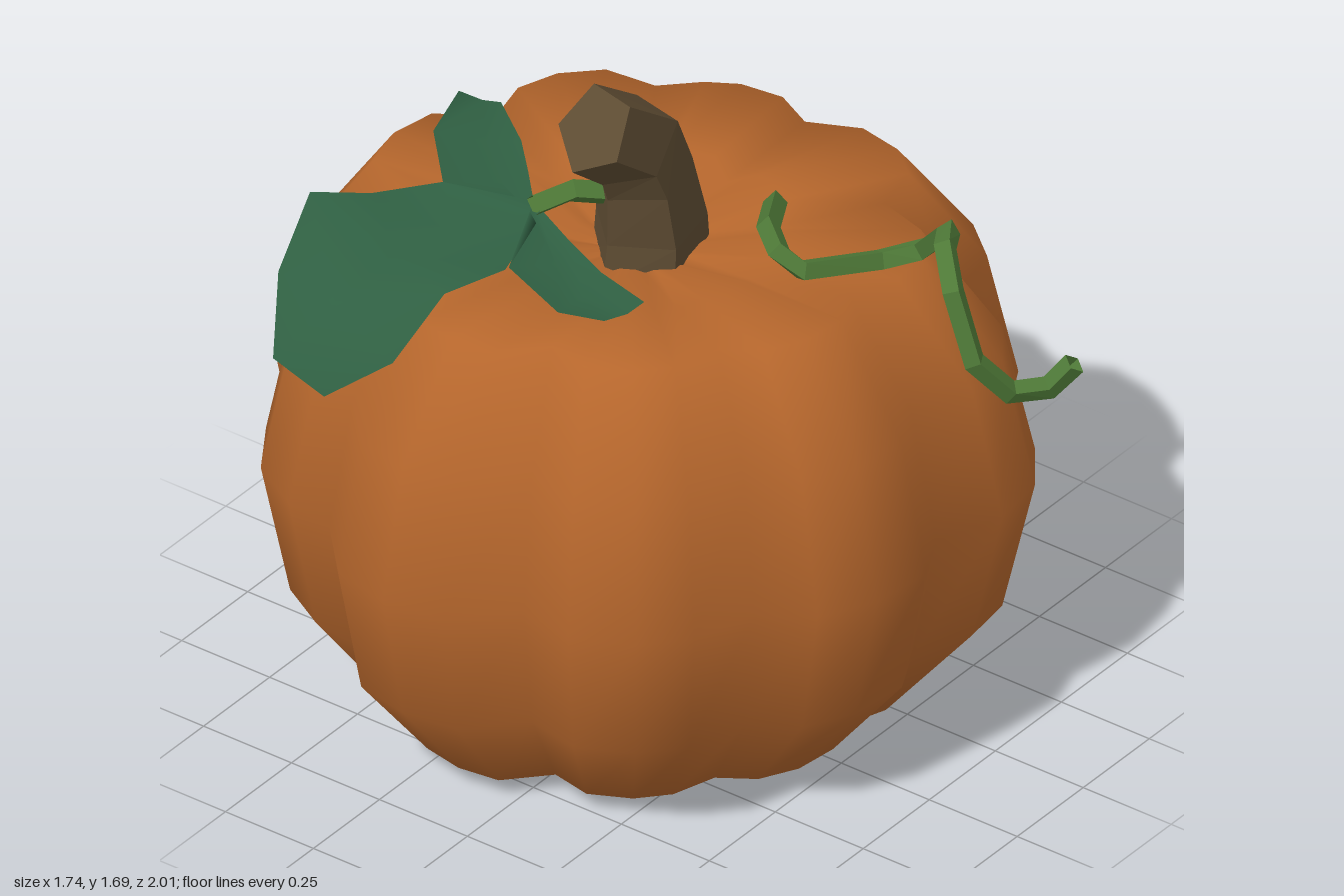
import * as THREE from 'three';

const V = (x, y, z) => new THREE.Vector3(x, y, z);

// Skin a list of rings (or open rows) of points, bottom to top
function loft(rings, closed = true) {
  const n = rings[0].length, index = [];
  for (let i = 0; i < rings.length - 1; i++) {
    for (let j = 0; j < (closed ? n : n - 1); j++) {
      const k = (j + 1) % n;
      const a = i * n + j, b = i * n + k, c = a + n, d = b + n;
      index.push(a, b, d, a, d, c);
    }
  }
  const g = new THREE.BufferGeometry().setFromPoints(rings.flat());
  g.setIndex(index);
  g.computeVertexNormals();
  return g;
}

// Straight-sided path whose tube rings sit exactly on its corner points
class CornerPath extends THREE.Curve {
  constructor(points) { super(); this.points = points; }
  getPointAt(u) {
    return this.points[Math.round(u * (this.points.length - 1))].clone();
  }
  getTangentAt(u) {
    const p = this.points, i = Math.round(u * (p.length - 1));
    return p[Math.min(i + 1, p.length - 1)].clone().sub(p[Math.max(i - 1, 0)]).normalize();
  }
}

export function createModel() {
  const group = new THREE.Group();
  const add = (name, geometry, color, options = {}, parent = group) => {
    const mesh = new THREE.Mesh(geometry, new THREE.MeshStandardMaterial({ color, ...options }));
    mesh.name = name;
    parent.add(mesh);
  };

  // Pumpkin body: nine-lobed plan outline (x, z), four points per lobe
  const outline = [
    [-.04, -1], [-.20, -.96], [-.29, -.77], [-.46, -.79], [-.60, -.70], [-.68, -.56],
    [-.70, -.43], [-.84, -.30], [-.87, -.15], [-.85, 0], [-.71, .13], [-.74, .28],
    [-.67, .42], [-.57, .51], [-.41, .56], [-.33, .68], [-.20, .75], [-.04, .77],
    [.08, .71], [.25, .77], [.40, .75], [.52, .66], [.57, .48], [.75, .44],
    [.84, .33], [.87, .17], [.79, 0], [.86, -.14], [.84, -.29], [.78, -.39],
    [.67, -.50], [.65, -.68], [.54, -.79], [.40, -.84], [.23, -.80], [.12, -.97],
  ];
  const cz = -.11;
  // Profile: outline scale, height, extra depth of the grooves
  const profile = [
    [0, .015, 0], [.32, .003, 0], [.69, .055, 0], [.92, .31, 0], [1, .65, 0],
    [.92, .98, 0], [.72, 1.24, 0], [.4, 1.225, .03], [.15, 1.18, .01], [0, 1.16, 0],
  ];
  add('pumpkinBody', loft(profile.map(([s, y, dip]) => outline.map(([x, z], j) =>
    V(x * s, y - (j % 4 === 2 ? dip : 0), cz + (z - cz) * s)))), 0xb5662c);

  // Stem: five-sided rings that lean over to the right; x, y, tilt, in-plane and z radius
  const stemRings = [
    [.04, 1.12, 0, .15, .14], [.035, 1.24, .05, .135, .135], [0, 1.4, .3, .115, .12],
    [-.045, 1.5, .65, .12, .11], [-.2, 1.62, .93, .11, .095], [-.2, 1.62, .93, 0, 0],
  ];
  add('stem', loft(stemRings.map(([x, y, tilt, r, rz], i) =>
    Array.from({ length: 5 }, (_, k) => {
      const t = (100 + k * 72) * Math.PI / 180, u = r * Math.cos(t);
      return V(x + u * Math.cos(tilt), y + u * Math.sin(tilt), -.08 + i * .007 - rz * Math.sin(t));
    }))), 0x5e4c33, { flatShading: true });

  // Leaf: three lobes, each a strip of edge, midrib, edge rows
  const leaf = new THREE.Group();
  leaf.name = 'leaf';
  group.add(leaf);
  const root = [[-.25, 1.34, -.18], [-.22, 1.34, -.22], [-.18, 1.34, -.24]];
  const lobes = {
    largeLeafLobe: [
      [[-.42, 1.32, -.14], [-.35, 1.30, -.32], [-.23, 1.33, -.46]],
      [[-.57, 1.31, -.20], [-.48, 1.29, -.41], [-.34, 1.31, -.58]],
      [[-.70, 1.17, -.25], [-.63, 1.21, -.47], [-.48, 1.36, -.65]],
      [[-.76, 1.05, -.40], [-.74, 1.08, -.56], [-.64, 1.24, -.62]],
    ],
    frontLeafLobe: [
      [[-.26, 1.34, -.08], [-.32, 1.31, -.07], [-.42, 1.33, -.13]],
      [[-.31, 1.33, .05], [-.39, 1.31, .06], [-.50, 1.33, .07]],
      [[-.36, 1.34, .21], [-.41, 1.33, .20], [-.465, 1.33, .175]],
    ],
    backLeafLobe: [
      [[-.23, 1.33, -.46], [-.13, 1.31, -.37], [-.08, 1.33, -.33]],
      [[-.10, 1.35, -.585], [-.04, 1.33, -.48], [0, 1.34, -.41]],
      [[.03, 1.38, -.61], [.08, 1.34, -.58], [.11, 1.33, -.55]],
    ],
  };
  for (const [name, rows] of Object.entries(lobes)) {
    // Start each strip at the shared root, narrowed to the midrib for the side lobes
    const start = name === 'largeLeafLobe' ? root
      : name === 'frontLeafLobe' ? [root[2], root[1], root[0]] : [root[1], root[1], root[2]];
    const points = [start, ...rows].map(row => row.map(p => V(...p)));
    // Keep every strip facing upwards
    if (name === 'frontLeafLobe') points.forEach(row => row.reverse());
    if (name !== 'frontLeafLobe') points.forEach(row => row.reverse());
    const g = loft(points, false);
    if (g.attributes.normal.getY(4) < 0) {
      points.forEach(row => row.reverse());
      g.copy(loft(points, false));
    }
    add(name, g, 0x2f5f42, { side: THREE.DoubleSide }, leaf);
  }

  // Leaf stalk and curling vine: four-sided tubes through corner points
  const tube = (name, points, radius) => {
    const path = new CornerPath(points.map(p => V(...p)));
    add(name, new THREE.TubeGeometry(path, points.length - 1, radius, 4), 0x4f7a38,
      { flatShading: true, side: THREE.DoubleSide });
  };
  tube('leafStalk', [[-.02, 1.33, -.1], [-.13, 1.37, -.17], [-.22, 1.36, -.21]], .03);
  tube('vine', [
    [.23, 1.27, .14], [.03, 1.36, .27], [-.05, 1.37, .36], [-.03, 1.33, .41],
    [.16, 1.29, .49], [.23, 1.31, .56], [.18, 1.43, .67], [.10, 1.45, .72],
    [.05, 1.38, .78], [.05, 1.21, .84], [.12, 1.11, .89], [.20, 1.10, .94], [.23, 1.17, .99],
  ], .028);

  return group;
}
